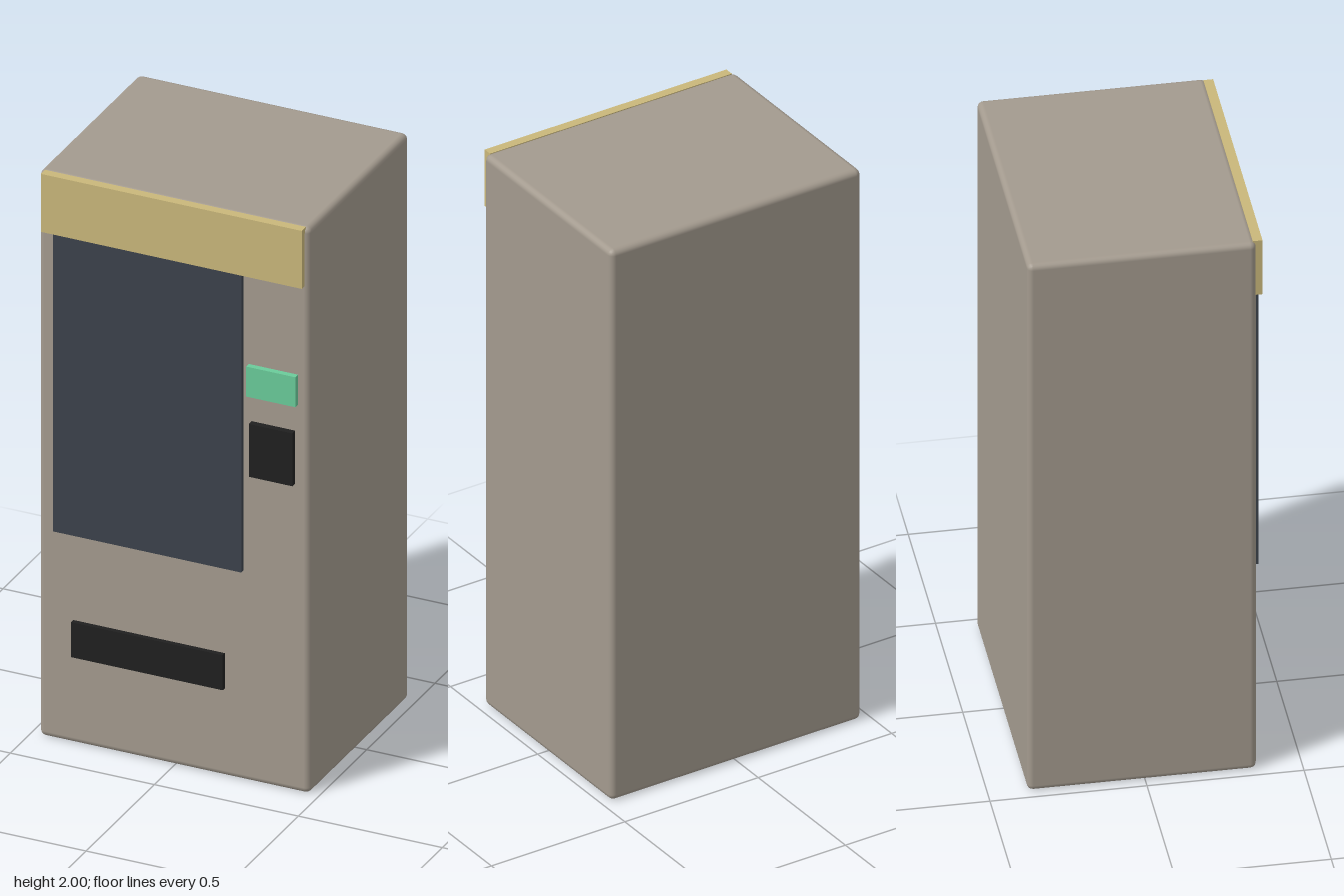
import * as THREE from 'three';
import { RoundedBoxGeometry } from 'three/addons/geometries/RoundedBoxGeometry.js';

const mat = (name, color) => {
  const m = new THREE.MeshStandardMaterial({ color });
  m.name = name;
  return m;
};

export function createModel() {
  const group = new THREE.Group();
  group.name = 'vendingMachine';

  const body = mat('warm grey', 0xa39a8e);
  const sign = mat('mustard', 0xc9b77a);
  const glass = mat('dark glass', 0x3c424b);
  const black = mat('black', 0x202020);
  const green = mat('mint green', 0x6acb9a);

  const frontZ = 0.355;
  const backZ = -0.375;

  // Cabinet with softened edges
  const cabinet = new THREE.Mesh(
    new RoundedBoxGeometry(0.94, 2, frontZ - backZ, 2, 0.02), body);
  cabinet.name = 'cabinet';
  cabinet.position.set(0, 1, (frontZ + backZ) / 2);
  group.add(cabinet);

  // Panel on the front face, given by its edges and how far it stands out
  const panel = (name, x0, x1, y0, y1, out, material) => {
    const sunk = 0.01;
    const mesh = new THREE.Mesh(
      new THREE.BoxGeometry(x1 - x0, y1 - y0, out + sunk), material);
    mesh.name = name;
    mesh.position.set((x0 + x1) / 2, (y0 + y1) / 2, frontZ + (out - sunk) / 2);
    group.add(mesh);
  };

  panel('headerSign', -0.453, 0.453, 1.795, 2, 0.021, sign);
  panel('displayWindow', -0.413, 0.24, 0.742, 1.797, 0.015, glass);
  panel('priceDisplay', 0.259, 0.43, 1.371, 1.477, 0.02, green);
  panel('keypad', 0.269, 0.42, 1.09, 1.277, 0.021, black);
  panel('deliverySlot', -0.35, 0.176, 0.312, 0.436, 0.016, black);

  return group;
}
